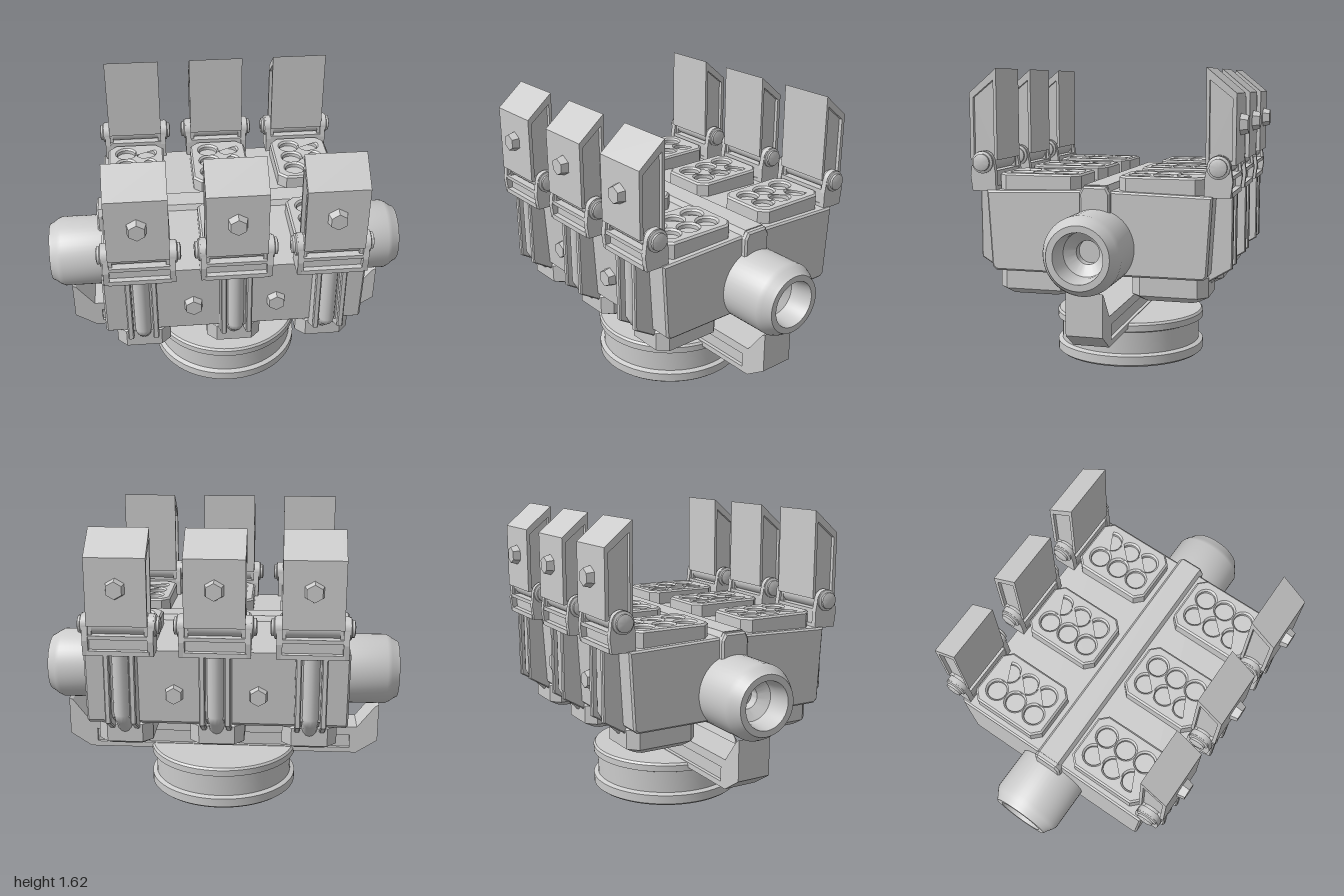
import * as THREE from 'three';
import { toCreasedNormals } from 'three/addons/utils/BufferGeometryUtils.js';

const material = new THREE.MeshStandardMaterial({ color: 0xcccccc });

function add(parent, name, geometry, x = 0, y = 0, z = 0) {
  const mesh = new THREE.Mesh(geometry, material);
  mesh.name = name;
  mesh.position.set(x, y, z);
  parent.add(mesh);
  return mesh;
}

function outline(points, hole) {
  const toVec = (list) => list.map(([a, b]) => new THREE.Vector2(a, b));
  const shape = new THREE.Shape(toVec(points));
  if (hole) shape.holes.push(new THREE.Path(toVec(hole)));
  return shape;
}

// Extrusion centred on its own depth, with an optional bevel inside the size
function slab(shape, depth, bevel = 0) {
  const geometry = new THREE.ExtrudeGeometry(shape, {
    depth: depth - 2 * bevel, bevelEnabled: bevel > 0, bevelSize: bevel,
    bevelThickness: bevel, bevelOffset: -bevel, bevelSegments: 1, curveSegments: 16,
  });
  return geometry.translate(0, 0, bevel - depth / 2);
}

// Side profile given as (z, y), extruded along x
const sideSlab = (shape, width, bevel) => slab(shape, width, bevel).rotateY(-Math.PI / 2);

const turned = (points, segments = 48) => toCreasedNormals(
  new THREE.LatheGeometry(points.map(([r, y]) => new THREE.Vector2(r, y)), segments), 0.5);

// Rectangle with cut corners
const cutRect = (w, d, c) => outline([
  [w - c, -d], [w, c - d], [w, d - c], [w - c, d], [c - w, d], [-w, d - c], [-w, c - d], [c - w, -d]]);

// Hexagonal bolt facing +z, slightly narrowed at the head
function bolt(parent, x, y, z, height) {
  const geometry = new THREE.CylinderGeometry(0.045, 0.055, height, 6).toNonIndexed();
  geometry.computeVertexNormals();
  add(parent, 'hexBolt', geometry.rotateX(Math.PI / 2), x, y, z + height / 2);
}

function buildBase(model) {
  add(model, 'turntable', turned([
    [0, 0.06], [0.09, 0.045], [0.16, 0], [0.41, 0], [0.425, 0.012], [0.425, 0.06], [0.4, 0.07],
    [0.4, 0.19], [0.425, 0.2], [0.425, 0.235], [0.415, 0.247], [0, 0.247]], 64));

  // Cradle with a sunken panel on both faces
  const cradle = [[-0.78, 0.22], [0.78, 0.22], [0.9, 0.3], [0.9, 0.52], [0.88, 0.51], [0.78, 0.38],
    [-0.78, 0.38], [-0.88, 0.51], [-0.9, 0.52], [-0.9, 0.3]];
  const panel = [[-0.74, 0.25], [-0.74, 0.33], [0.74, 0.33], [0.74, 0.25]];
  add(model, 'cradleCore', slab(outline(cradle), 0.15));
  for (const z of [-0.085, 0.085]) add(model, 'cradleFace', slab(outline(cradle, panel), 0.02), 0, 0, z);
}

function buildBody(model) {
  add(model, 'body', sideSlab(outline([
    [-0.55, 0.565], [0.55, 0.565], [0.572, 0.585], [0.595, 0.985], [0.08, 1], [-0.08, 1],
    [-0.595, 0.985], [-0.572, 0.585]]), 1.38, 0.01));
  add(model, 'topRidge', sideSlab(outline([
    [-0.085, 0.98], [0.085, 0.98], [0.06, 1.03], [-0.06, 1.03]]), 1.38));
  for (const side of [-1, 1]) {
    add(model, 'ridgeEnd', sideSlab(outline([
      [-0.08, 0.88], [0.08, 0.88], [0.08, 0.99], [0.06, 1.025], [-0.06, 1.025], [-0.08, 0.99]]), 0.06, 0.01), side * 0.69);
    // Hollow side drum
    const drum = turned([
      [0.2, 0.62], [0.2, 0.93], [0.188, 0.955], [0.17, 0.98], [0.16, 1], [0.127, 1],
      [0.115, 0.92], [0.115, 0.87], [0.06, 0.83], [0.06, 0.78], [0, 0.78]]);
    add(model, 'sideDrum', drum.rotateZ(-side * Math.PI / 2), 0, 0.71, 0);
  }
}

// Launcher pod: drilled top, tapered underside
function buildPod(station) {
  const top = cutRect(0.165, 0.222, 0.045);
  for (const x of [-0.06, 0.06]) {
    for (const y of [-0.123, 0, 0.123]) {
      top.holes.push(new THREE.Path().absarc(x, y, 0.053, 0, Math.PI * 2, true));
    }
  }
  add(station, 'podTop', slab(top, 0.1, 0.01).rotateX(-Math.PI / 2), 0, 1.025, 0.323);
  add(station, 'tubeCaps', new THREE.BoxGeometry(0.28, 0.06, 0.39), 0, 1.015, 0.323);

  const bottom = slab(cutRect(0.145, 0.2, 0.05), 0.16, 0.03).rotateX(-Math.PI / 2);
  const position = bottom.attributes.position;
  for (let i = 0; i < position.count; i++) {
    if (position.getY(i) > -0.07) continue;
    position.setX(i, position.getX(i) * 0.93);
    position.setZ(i, position.getZ(i) * 0.86);
  }
  bottom.computeVertexNormals();
  add(station, 'podBottom', bottom, 0, 0.51, 0.363);
}

// Strap running down the wall and under the body
function buildStrap(station) {
  const rail = outline([
    [0.55, 0.99], [0.55, 0.63], [0.46, 0.56], [0.44, 0.47], [0.5, 0.45], [0.565, 0.54],
    [0.68, 0.61], [0.68, 0.99]]);
  const web = outline([
    [0.55, 0.99], [0.55, 0.63], [0.46, 0.56], [0.46, 0.5], [0.54, 0.56], [0.64, 0.63], [0.64, 0.99]]);
  for (const x of [-0.066, 0.066]) add(station, 'strapRail', sideSlab(rail, 0.032, 0.006), x);
  add(station, 'strapWeb', sideSlab(web, 0.12));
  const path = new THREE.CurvePath();
  const points = [[0.99, 0.63], [0.64, 0.63], [0.56, 0.545], [0.5, 0.49]]
    .map(([y, z]) => new THREE.Vector3(0, y, z));
  for (let i = 0; i < 3; i++) path.add(new THREE.LineCurve3(points[i], points[i + 1]));
  add(station, 'strapTube', new THREE.TubeGeometry(path, 24, 0.043, 14));
}

function buildHinge(station) {
  // Tray with two rounded lugs
  const lug = outline([[0.55, 0.98], [0.68, 0.98], [0.69, 1.06], [0.68, 1.13]]);
  lug.absarc(0.62, 1.13, 0.06, 0, Math.PI, false);
  lug.lineTo(0.55, 1.07);
  for (const side of [-1, 1]) {
    add(station, 'hingeLug', sideSlab(lug, 0.03), side * 0.167);
    const head = turned([[0.058, 0.17], [0.058, 0.19], [0.045, 0.195], [0.045, 0.207], [0.03, 0.212], [0, 0.212]], 24);
    add(station, 'pinHead', head.rotateZ(-side * Math.PI / 2), 0, 1.13, 0.62);
  }
  add(station, 'hingeFloor', new THREE.BoxGeometry(0.32, 0.025, 0.135), 0, 0.993, 0.618);
  add(station, 'hingeBack', new THREE.BoxGeometry(0.32, 0.09, 0.1), 0, 1.03, 0.605);
  add(station, 'hingeLip', new THREE.BoxGeometry(0.32, 0.02, 0.13), 0, 1.075, 0.62);
  add(station, 'hingePin', new THREE.CylinderGeometry(0.05, 0.05, 0.36, 24).rotateZ(Math.PI / 2), 0, 1.13, 0.62);
}

// Open hatch, with a sunken panel on each side
function buildHatch(station) {
  const profile = [[0.55, 1.14], [0.7, 1.14], [0.7, 1.49], [0.55, 1.615]];
  const panel = [[0.567, 1.16], [0.567, 1.555], [0.68, 1.465], [0.68, 1.16]];
  add(station, 'hatchCore', sideSlab(outline(profile), 0.27));
  for (const x of [-0.145, 0.145]) {
    add(station, 'hatchFrame', sideSlab(outline(profile, panel), 0.02), x);
    add(station, 'hatchFoot', new THREE.BoxGeometry(0.02, 0.07, 0.1), x, 1.11, 0.62);
  }
  bolt(station, 0, 1.335, 0.7, 0.04);
}

// Everything that repeats on the front and back
function buildSide(model, name, angle) {
  const side = new THREE.Group();
  side.name = name;
  side.rotation.y = angle;
  for (const x of [-0.49, 0, 0.49]) {
    const station = new THREE.Group();
    station.name = 'launchStation';
    station.position.x = x;
    buildPod(station);
    buildStrap(station);
    buildHinge(station);
    buildHatch(station);
    side.add(station);
  }
  for (const x of [-0.22, 0.22]) bolt(side, x, 0.745, 0.575, 0.045);
  model.add(side);
}

export function createModel() {
  const model = new THREE.Group();
  model.name = 'launcherTurret';
  buildBase(model);
  buildBody(model);
  buildSide(model, 'frontLaunchers', 0);
  buildSide(model, 'backLaunchers', Math.PI);
  return model;
}
